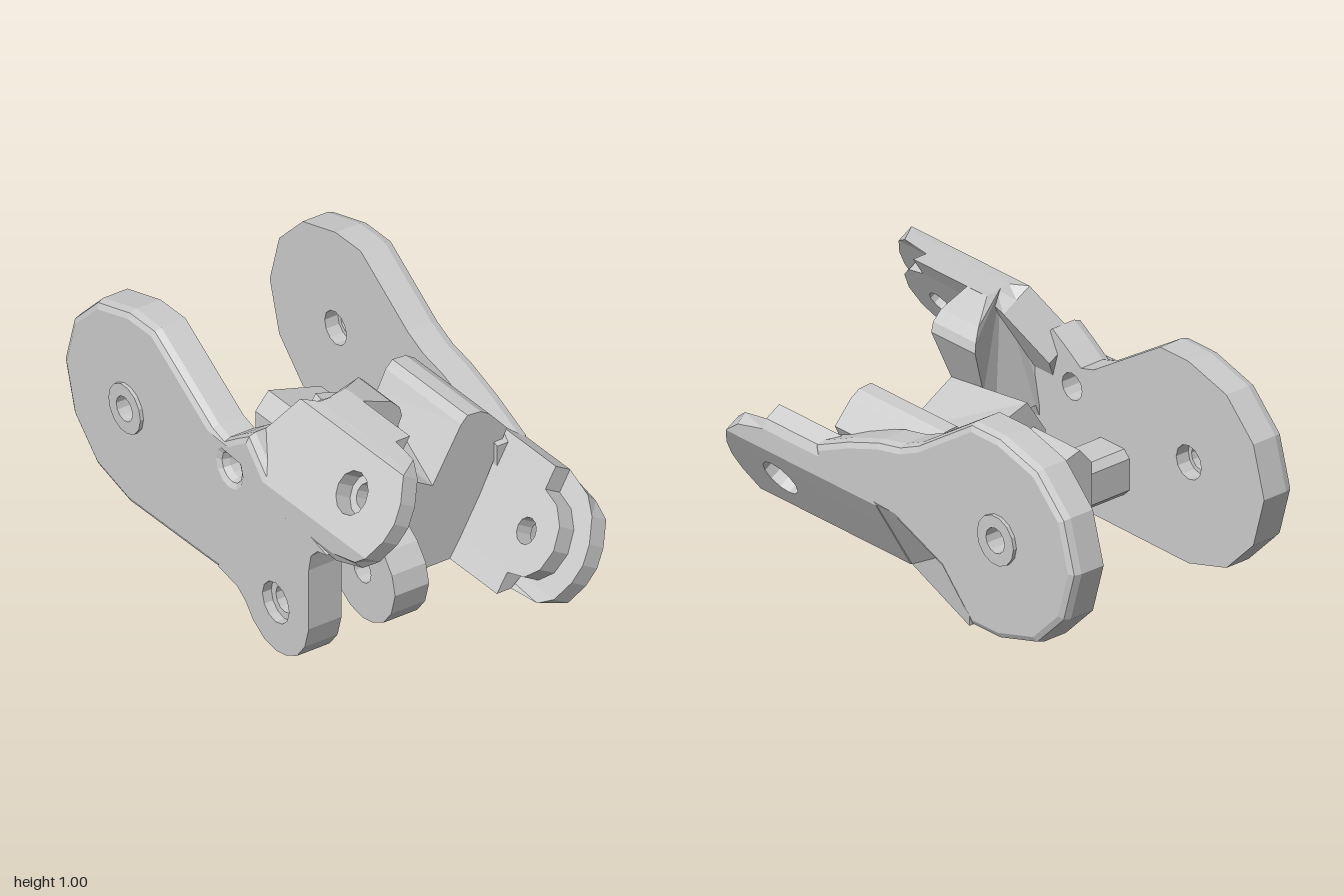
import * as THREE from 'three';

const MID = 0.58; // height of the shared joint axis
const material = new THREE.MeshStandardMaterial({ color: 0xcccccc, flatShading: true, side: THREE.DoubleSide });

function add(parent, geometry, name) {
  geometry.computeVertexNormals();
  const mesh = new THREE.Mesh(geometry, material);
  mesh.name = name;
  parent.add(mesh);
}

function makeShape(points, holes = []) {
  const shape = new THREE.Shape(points.map(p => new THREE.Vector2(p[0], p[1])));
  for (const [x, y, r] of holes) {
    const hole = new THREE.Path();
    hole.absarc(x, y, r, 0, Math.PI * 2, true);
    shape.holes.push(hole);
  }
  return shape;
}

function moveVertices(geometry, rule) {
  const p = geometry.attributes.position;
  const v = new THREE.Vector3();
  for (let i = 0; i < p.count; i++) {
    rule(v.fromBufferAttribute(p, i));
    p.setXYZ(i, v.x, v.y, v.z);
  }
  return geometry;
}

// Flat slab between two z planes
function slab(parent, points, holes, z0, z1, name) {
  const g = new THREE.ExtrudeGeometry(makeShape(points, holes), { depth: z1 - z0, bevelEnabled: false, curveSegments: 6 });
  add(parent, g.translate(0, 0, z0), name);
}

// Side plate: rounded edge and countersunk holes outside, sharp edge inside
function plate(parent, outline, holes, name) {
  const size = 0.03, thick = 0.04;
  const g = new THREE.ExtrudeGeometry(makeShape(outline, holes), {
    depth: 0.15 - thick, bevelThickness: thick, bevelSize: size, bevelOffset: -size, bevelSegments: 2, curveSegments: 6,
  });
  moveVertices(g, v => {
    v.z = Math.max(v.z, 0) + 0.4;
    for (const [x, y, r] of holes) {
      const d = Math.hypot(v.x - x, v.y - y);
      if (d > r + 0.002) continue;
      const s = (2 * r - 0.013 - d) / d; // flip the taper so the hole opens outward
      v.x = x + (v.x - x) * s;
      v.y = y + (v.y - y) * s;
    }
  });
  add(parent, g, name);
  // raised washer set into the pivot hole
  const ring = Array.from({ length: 14 }, (_, i) => {
    const a = i / 14 * Math.PI * 2;
    return [-0.58 + 0.102 * Math.cos(a), MID + 0.102 * Math.sin(a)];
  });
  slab(parent, ring, [[-0.58, MID, 0.052]], 0.46, 0.565, 'pivotWasher');
}

// Tilted ear, in three strips, trimmed at the top and at the outer plane.
// root = x of the root edge from bottom to top
function ear(parent, root) {
  const k = 0.174, R = 0.27;
  const [bottom, low, waist, high, top] = root;
  const layers = [
    { d: 0.46, hole: 0.085, mid: [[0.937, -k], [0.985, -0.08], [1, 0], [0.985, 0.08], [0.937, k]], end: [[0.937, k], [0.87, 0.232], [0.73, R]] },
    { d: 0.385, hole: 0.052, mid: [[0.73, -k], [0.82, -0.15], [0.88, -0.09], [0.904, 0], [0.88, 0.09], [0.82, 0.15], [0.73, k]], end: [[0.73, k], [0.73, R]] },
  ];
  for (const { d, hole, mid, end } of layers) {
    const lower = end.map(([x, t]) => [x, -t]).reverse();
    const strips = [
      makeShape([[bottom, -R], ...lower, [low, -k]]),
      makeShape([[low, -k], ...mid, [high, k], [waist, -0.05]], [[0.73, 0, hole]]),
      makeShape([[high, k], ...end, [top, R]]),
    ];
    for (const s of strips) {
      const g = new THREE.ExtrudeGeometry(s, { depth: 0.075, bevelEnabled: false, curveSegments: 6 });
      g.translate(0, 0, d).rotateX(-Math.PI / 6).translate(0, MID, 0);
      moveVertices(g, v => { v.y = Math.min(v.y, 1); v.z = Math.min(v.z, 0.55); });
      add(parent, g, 'tiltedEar');
    }
  }
}

// Prism along x from a [z, y] profile; the rule reshapes its left end
function crossBlock(parent, profile, x0, x1, name, leftRule) {
  const g = new THREE.ExtrudeGeometry(makeShape(profile.map(([z, y]) => [-z, y])), { depth: x1 - x0, bevelEnabled: false });
  g.rotateY(Math.PI / 2).translate(x0, 0, 0);
  if (leftRule) moveVertices(g, v => { if (v.x < x0 + 0.001) leftRule(v); });
  add(parent, g, name);
}

export function createModel() {
  const model = new THREE.Group();
  model.name = 'tiltedClevisBracket';
  const front = new THREE.Group();
  front.name = 'frontArm';
  const back = new THREE.Group();
  back.name = 'backArm';
  back.rotation.x = Math.PI; // half turn about the joint axis
  back.position.y = 2 * MID;
  model.add(front, back);

  // rounded pivot end shared by both plates
  const roundEnd = [[-0.58, 0.16], [-0.79, 0.22], [-0.94, 0.37], [-1, MID], [-0.94, 0.79], [-0.79, 0.94], [-0.58, 1], [-0.42, 1]];
  const pivot = [-0.58, MID, 0.083];

  plate(front, [...roundEnd, [-0.05, 0.765], [0.02, 0.745], [0.1, 0.8], [0.18, 0.85], [0.3, 0.72],
    [0.45, 0.68], [0.45, 0.45], [0.15, 0.17], [-0.05, 0.163]], [pivot, [0.07, 0.65, 0.0685]], 'frontPlate');
  ear(front, [0.2, 0.19, 0.15, 0.28, 0.34]);

  plate(back, [[-0.42, 0.16], ...roundEnd, [-0.25, 0.82], [0, 0.72], [0.45, 0.69], [0.45, 0.57], [0.27, 0.49], [0.1, 0.43],
    [-0.02, 0.405], [-0.12, 0.36]], [pivot], 'backPlate');
  ear(back, [0.22, 0.1, 0.1, 0.1, 0.1]);

  // warped transition from the upright back plate to its tilted ear
  const blend = new THREE.BoxGeometry(2, 2, 2);
  moveVertices(blend, v => {
    const outer = v.z > 0, top = v.y > 0;
    if (v.x < 0) v.set(-0.42, top ? 1 : 0.68, outer ? 0.55 : 0.4);
    else if (top) v.set(0.1, 1, outer ? 0.37 : 0.2);
    else v.set(0.1, outer ? 0.69 : 0.62, outer ? 0.55 : 0.42);
  });
  add(back, blend.toNonIndexed(), 'plateTransition');

  // pair of round lugs, the front one countersunk and filleted into the ear
  const lugFoot = [[0, 0.18], [0.12, 0.155], [0.17, 0.12], [0.22, 0.06], [0.29, 0.015], [0.37, 0],
    [0.43, 0.01], [0.5, 0.045], [0.55, 0.11], [0.575, 0.2]];
  const frontLug = [[0, 0.45], ...lugFoot, [0.575, 0.46], [0.59, 0.53], [0.63, 0.57], [0.69, 0.585], [0.5, 0.64], [0.2, 0.52]];
  slab(front, frontLug, [[0.365, 0.21, 0.055]], 0.4, 0.51, 'frontLug');
  slab(front, frontLug, [[0.365, 0.21, 0.085]], 0.51, 0.55, 'frontLugFace');
  slab(model, [[0, 0.4], ...lugFoot, [0.555, 0.28], [0.5, 0.35], [0.43, 0.4]], [[0.365, 0.21, 0.055]], 0, 0.155, 'innerLug');
  crossBlock(model, [[0, 0.09], [0, 0.2], [-0.12, 0.2], [-0.1, 0.16], [-0.04, 0.145]], 0.22, 0.43, 'lugFillet');

  // slanted core whose notch floor ramps up to the left
  crossBlock(model, [[0.16, 0.31], [0.16, 0.6], [0.12, 0.65], [-0.12, 0.51], [-0.25, 0.73], [-0.28, 0.76], [-0.34, 0.755],
    [-0.38, 0.73], [-0.46, 0.64], [-0.22, 0.16], [0, 0.16], [0, 0.31]], -0.05, 0.43, 'core', v => {
    if (v.y > 0.64 && v.z > 0) v.set(v.x, 0.74, 0.07);
    else if (v.y > 0.5 && v.z < 0 && v.z > -0.2) v.set(v.x, 0.65, -0.21);
  });
  // shoulder that carries the front ear
  crossBlock(model, [[0.2, 1], [0.07, 0.95], [0.03, 0.91], [0.02, 0.87], [0.12, 0.65], [0.12, 0.4], [0.16, 0.4], [0.18, 0.5],
    [0.38, 0.51], [0.4, 0.46], [0.45, 0.46], [0.47, 0.6], [0.28, 1]], 0.2, 0.43, 'shoulder',
  v => { v.x = v.y > 0.7 ? 0.17 + 0.75 * Math.min(v.z, 0.22) : 0.25; });

  // hub block and the cross bars joining it to both plates
  crossBlock(model, [[0.16, 0.31], [0.16, 0.56], [0.1, 0.63], [-0.14, 0.56], [-0.14, 0.16], [0, 0.16], [0.03, 0.31]], -0.31, 0, 'hub');
  const barOutline = y => [[-0.25, y + 0.03], [-0.22, y], [-0.09, y], [-0.06, y + 0.03], [-0.06, 0.47], [-0.09, 0.5], [-0.22, 0.5], [-0.25, 0.47]];
  slab(model, barOutline(0.31), [], 0.13, 0.42, 'frontCrossBar');
  slab(model, barOutline(0.16), [], -0.42, -0.12, 'backCrossBar');
  return model;
}
